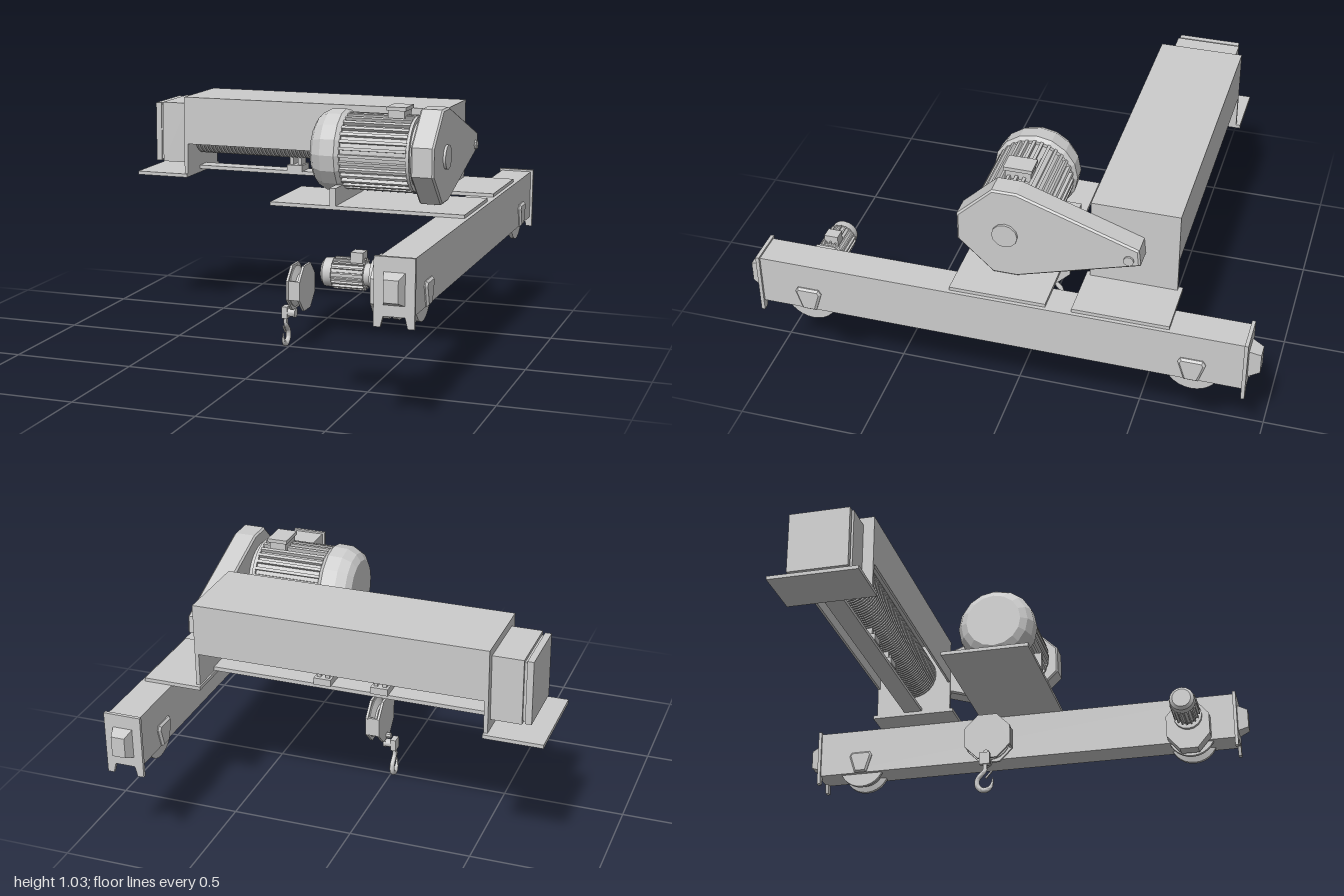
import * as THREE from 'three';
import { toCreasedNormals } from 'three/addons/utils/BufferGeometryUtils.js';

const grey = new THREE.MeshStandardMaterial({ color: 0xcccccc });
const V2 = (p) => new THREE.Vector2(p[0], p[1]);

function add(parent, name, geo, crease = 0.6) {
  const mesh = new THREE.Mesh(toCreasedNormals(geo, crease), grey);
  mesh.name = name;
  parent.add(mesh);
  return mesh;
}

// Box from its limits on each axis
function box(parent, name, x0, x1, y0, y1, z0, z1) {
  const g = new THREE.BoxGeometry(x1 - x0, y1 - y0, z1 - z0);
  return add(parent, name, g.translate((x0 + x1) / 2, (y0 + y1) / 2, (z0 + z1) / 2));
}

// Turned part along x: profile of [x, radius], centred on (y, z)
function turned(parent, name, profile, y, z, sides = 24, crease = 0.6) {
  const g = new THREE.LatheGeometry(profile.map(([x, r]) => new THREE.Vector2(r, x)), sides);
  return add(parent, name, g.rotateZ(-Math.PI / 2).translate(0, y, z), crease);
}

// Plate with a [z, y] outline, spanning x0..x1, with optional bevel
function plate(parent, name, outline, x0, x1, bevel = 0) {
  const shape = new THREE.Shape(outline.map(([z, y]) => V2([-z, y])));
  const g = new THREE.ExtrudeGeometry(shape, {
    depth: x1 - x0 - 2 * bevel, bevelEnabled: bevel > 0, bevelSize: bevel,
    bevelThickness: bevel, bevelOffset: -bevel, bevelSegments: 1,
  });
  return add(parent, name, g.rotateY(Math.PI / 2).translate(x0 + bevel, 0, 0), 0.3);
}

// Regular octagon with flat top, as [z, y] points
function octagon(z, y, rz, ry) {
  return Array.from({ length: 8 }, (_, i) => {
    const a = (i + 0.5) * Math.PI / 4, k = 1 / Math.cos(Math.PI / 8);
    return [z + rz * k * Math.cos(a), y + ry * k * Math.sin(a)];
  });
}

// Cooling ribs around a motor body
function ribs(parent, count, x0, x1, r, y, z, h, t) {
  for (let i = 0; i < count; i++) {
    const g = new THREE.BoxGeometry(x1 - x0, h, t).translate((x0 + x1) / 2, r, 0);
    add(parent, 'coolingRib', g.rotateX(i / count * Math.PI * 2).translate(0, y, z));
  }
}

function group(parent, name) {
  const g = new THREE.Group();
  g.name = name;
  parent.add(g);
  return g;
}

function buildEndCarriage(root) {
  const carriage = group(root, 'endCarriage');
  carriage.position.x = 0.735;
  box(carriage, 'carriageBeam', -0.065, 0.065, 0.43, 0.635, -0.95, 0.95);
  for (const turn of [0, Math.PI]) {
    const end = group(carriage, 'carriageEnd');
    end.rotation.y = turn;
    // End plate with two feet
    const s = new THREE.Shape([[-0.075, 0.39], [-0.05, 0.39], [-0.04, 0.43], [0.04, 0.43],
      [0.05, 0.39], [0.075, 0.39], [0.075, 0.643], [-0.075, 0.643]].map(V2));
    add(end, 'endPlate', new THREE.ExtrudeGeometry(s, { depth: 0.014, bevelEnabled: false })
      .translate(0, 0, 0.942));
    // Tapered buffer
    const q = Math.SQRT1_2;
    add(end, 'buffer', new THREE.CylinderGeometry(0.68 * q, q, 1, 4).rotateY(Math.PI / 4)
      .rotateX(Math.PI / 2).scale(0.08, 0.12, 0.046).translate(0, 0.53, 0.977), 0.1);
    // Flanged wheel
    turned(end, 'wheel', [[-0.048, 0], [-0.048, 0.104], [-0.032, 0.104], [-0.024, 0.08],
      [0.024, 0.08], [0.032, 0.104], [0.048, 0.104], [0.048, 0]], 0.474, 0.752, 28);
    // Axle housing on both sides
    plate(end, 'axleHousing', [[0.725, 0.43], [0.78, 0.43], [0.805, 0.51], [0.795, 0.528],
      [0.71, 0.528], [0.7, 0.51]], -0.077, 0.077, 0.008);
  }
}

function buildTravelDrive(root) {
  const drive = group(root, 'travelDrive'), y = 0.523, z = 0.75;
  plate(drive, 'driveGearbox', octagon(0.747, 0.486, 0.094, 0.11), 0.612, 0.67);
  turned(drive, 'driveMotor', [[0.407, 0], [0.407, 0.04], [0.418, 0.053], [0.45, 0.055], [0.45, 0.05],
    [0.57, 0.05], [0.57, 0.042], [0.597, 0.042], [0.597, 0.062], [0.615, 0.062], [0.615, 0]], y, z, 16);
  ribs(drive, 18, 0.452, 0.57, 0.052, y, z, 0.014, 0.006);
  box(drive, 'driveTerminalBox', 0.517, 0.563, 0.56, 0.606, 0.72, 0.775);
}

function buildDrum(root) {
  const drum = group(root, 'ropeDrumUnit'), y = 0.825, z = -0.475;
  // Base plates and upright end plates
  box(drum, 'leftBasePlate', -0.815, -0.582, 0.634, 0.649, -0.66, -0.29);
  box(drum, 'rightBasePlate', 0.55, 0.785, 0.634, 0.649, -0.66, -0.29);
  box(drum, 'leftEndPlate', -0.598, -0.582, 0.645, 0.985, -0.643, -0.305);
  box(drum, 'rightEndPlate', 0.556, 0.572, 0.645, 0.985, -0.643, -0.305);
  // Cover open underneath
  box(drum, 'coverTop', -0.59, 0.564, 0.973, 0.985, -0.643, -0.305);
  box(drum, 'coverFront', -0.59, 0.564, 0.78, 0.98, -0.315, -0.305);
  box(drum, 'coverBack', -0.59, 0.564, 0.78, 0.98, -0.643, -0.633);
  // Grooved drum
  const profile = [[-0.582, 0]];
  for (let i = 0; i < 64; i++) {
    const x = -0.582 + i * 0.0178;
    profile.push([x, 0.094], [x + 0.005, 0.106], [x + 0.0128, 0.106]);
  }
  profile.push([0.557, 0.094], [0.557, 0]);
  turned(drum, 'groovedDrum', profile, y, z, 24);
  // Rope guide rail with two guides
  box(drum, 'guideRail', -0.585, 0.56, 0.65, 0.666, z - 0.04, z + 0.04);
  for (const x of [-0.132, 0.1]) {
    box(drum, 'guideFoot', x - 0.035, x + 0.035, 0.664, 0.692, z - 0.045, z + 0.045);
    for (const d of [-0.018, 0.018])
      box(drum, 'guidePost', x + d - 0.008, x + d + 0.008, 0.69, 0.775, z - 0.03, z + 0.03);
  }
  // Stepped control box on the outer end
  box(drum, 'controlBox', -0.718, -0.598, 0.69, 0.952, -0.61, -0.35);
  box(drum, 'controlBoxNeck', -0.728, -0.715, 0.7, 0.94, -0.6, -0.36);
  box(drum, 'controlBoxLid', -0.753, -0.728, 0.692, 0.948, -0.605, -0.355);
}

function buildHoistMotor(root) {
  const hoist = group(root, 'hoistMotorUnit'), y = 0.845;
  box(hoist, 'motorBasePlate', -0.015, 0.785, 0.634, 0.649, -0.19, 0.183);
  box(hoist, 'motorBracket', 0.236, 0.262, 0.645, 0.72, -0.182, 0.185);
  // Faceted bell-shaped fan cover
  turned(hoist, 'fanCover', [[0.13, 0], [0.13, 0.118], [0.148, 0.146], [0.185, 0.166], [0.245, 0.168],
    [0.262, 0.155], [0.262, 0]], y, 0, 16, 0.1);
  turned(hoist, 'motorBody', [[0.255, 0], [0.255, 0.141], [0.535, 0.141], [0.535, 0.152], [0.548, 0.152],
    [0.548, 0.135], [0.57, 0.135], [0.57, 0]], y, 0, 32);
  ribs(hoist, 32, 0.26, 0.537, 0.147, y, 0, 0.018, 0.012);
  box(hoist, 'terminalBox', 0.432, 0.5, 0.975, 1.025, -0.055, 0.045);
  box(hoist, 'terminalBoxLid', 0.426, 0.507, 1.02, 1.035, -0.061, 0.051);
  // Gear case reaching from the motor to the drum
  plate(hoist, 'gearCase', [[0.05, 1.033], [-0.045, 1.033], [-0.51, 0.868], [-0.517, 0.8],
    [-0.045, 0.655], [0.05, 0.655], [0.188, 0.785], [0.188, 0.9]], 0.566, 0.66, 0.007);
  turned(hoist, 'motorShaftCap', [[0.65, 0], [0.65, 0.05], [0.67, 0.05], [0.67, 0]], 0.84, 0, 12);
  turned(hoist, 'drumShaftCap', [[0.65, 0], [0.65, 0.02], [0.668, 0.02], [0.668, 0]], 0.82, -0.473, 10);
}

function buildHook(root) {
  const hook = group(root, 'hookBlock'), y = 0.265;
  // Side cheeks, sheave and closing strips
  for (const x of [0.02, 0.07])
    plate(hook, 'blockCheek', octagon(0, y, 0.095, 0.095), x, x + 0.01);
  turned(hook, 'sheave', [[0.029, 0], [0.029, 0.086], [0.034, 0.086], [0.046, 0.055], [0.054, 0.055],
    [0.066, 0.086], [0.071, 0.086], [0.071, 0]], y, 0, 24);
  for (const s of [-1, 1])
    box(hook, 'blockStrip', 0.025, 0.075, y - 0.04, y + 0.04, s * 0.088 - 0.005, s * 0.088 + 0.005);
  // Cross pin and shank
  turned(hook, 'crossPin', [[-0.026, 0], [-0.026, 0.017], [0.022, 0.017], [0.022, 0.02], [0.03, 0.02],
    [0.03, 0]], 0.149, 0, 12);
  box(hook, 'hookNut', -0.026, -0.003, 0.125, 0.175, -0.021, 0.021);
  turned(hook, 'lockPin', [[0, 0], [0, 0.012], [0.025, 0.012], [0.025, 0]], 0.185, 0, 8);
  // Curved hook, thicker at the bottom
  const path = new THREE.CatmullRomCurve3([[0, 0.13], [0, 0.1], [-0.012, 0.085], [-0.031, 0.062],
    [-0.03, 0.032], [-0.005, 0.014], [0.022, 0.025], [0.031, 0.05], [0.031, 0.066]]
    .map(([z, h]) => new THREE.Vector3(-0.015, h, z)));
  const tube = new THREE.TubeGeometry(path, 28, 0.012, 8, false);
  const p = tube.attributes.position;
  for (let i = 0; i < p.count; i++) {
    const t = Math.floor(i / 9) / 28, c = path.getPointAt(t);
    const k = t > 0.7 ? 1 - (t - 0.7) * 2.8 : 0.75 + 0.35 * t;
    p.setXYZ(i, c.x + (p.getX(i) - c.x) * k, c.y + (p.getY(i) - c.y) * k, c.z + (p.getZ(i) - c.z) * k);
  }
  add(hook, 'hook', tube, 0.9);
  // Safety latch
  const latch = add(hook, 'safetyLatch', new THREE.BoxGeometry(0.008, 0.04, 0.006));
  latch.position.set(-0.015, 0.08, 0.016);
  latch.rotation.x = 0.7;
}

export function createModel() {
  const root = new THREE.Group();
  root.name = 'hoistTrolley';
  buildEndCarriage(root);
  buildTravelDrive(root);
  buildDrum(root);
  buildHoistMotor(root);
  buildHook(root);
  return root;
}
